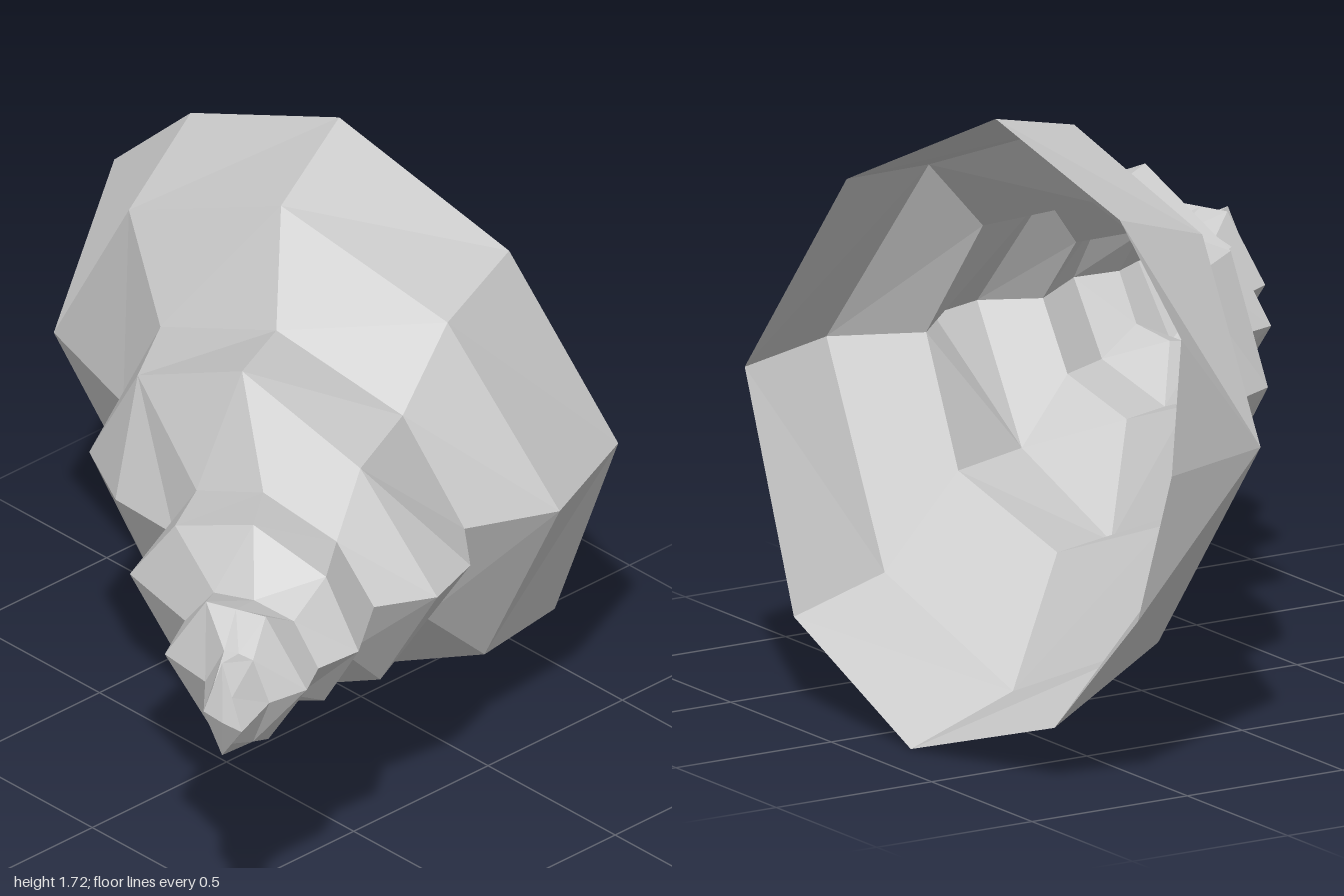
import * as THREE from 'three';

const MID = 0.9; // height of the shell's axis

// Faceted oval ring through left/right (x,z) and top/bottom (x,y,z).
// c and s place the diagonal corners; span optionally sets their own left/right.
function ring(L, R, T, B, c = 0.66, s = 0.7, span = [L, R]) {
  const [l, r] = span;
  const cx = (l[0] + r[0]) / 2, cz = (l[1] + r[1]) / 2;
  const ux = (r[0] - l[0]) / 2, uz = (r[1] - l[1]) / 2;
  const diag = (side, P) => [
    cx + side * c * ux + s * (P[0] - cx),
    MID + s * (P[1] - MID),
    cz + side * c * uz + s * (P[2] - cz),
  ];
  const left = [L[0], MID, L[1]], right = [R[0], MID, R[1]];
  return [left, left, diag(-1, T), T, diag(1, T), right, diag(1, B), B, diag(-1, B), left];
}

function shellGeometry() {
  const ridgeSpan = [[-0.35, 0.18], [0.85, 0.02]];
  const ridgeT = [0.23, 1.4, 0.16], ridgeB = [0.23, 0.36, 0.05];
  const rings = [
    // flared open lip
    [[-1, MID, -0.55], [-0.97, 1.27, -0.5], [-0.68, 1.54, -0.51], [-0.17, 1.72, -0.58], [0.34, 1.46, -0.73],
      [0.6, MID, -0.89], [0.34, 0.26, -0.9], [-0.18, 0, -0.86], [-0.71, 0.16, -0.74], [-0.97, 0.5, -0.64]],
    // large whorl
    ring([-0.87, -0.18], [0.75, -0.53], [-0.05, 1.63, -0.25], [-0.07, 0.08, -0.46], 0.63, 0.72),
    ring([-0.47, -0.06], [0.64, -0.28], [0.09, 1.36, -0.1], [0.08, 0.4, -0.22], 0.71),
    // second whorl, with a double corner on each side
    ring([-0.35, 0.18], [0.79, -0.16], ridgeT, ridgeB, 0.64, 0.67, ridgeSpan),
    ring([-0.12, 0.3], [0.85, 0.02], ridgeT, ridgeB, 0.64, 0.67, ridgeSpan),
    ring([0.12, 0.31], [0.77, 0.18], [0.43, 1.15, 0.27], [0.43, 0.63, 0.23], 0.7),
    // third whorl
    ring([0.19, 0.54], [0.91, 0.37], [0.57, 1.18, 0.44], [0.55, 0.61, 0.43]),
    ring([0.47, 0.6], [0.9, 0.51], [0.69, 1.04, 0.55], [0.68, 0.75, 0.53], 0.6, 0.85),
    // fourth whorl
    ring([0.56, 0.76], [0.96, 0.61], [0.75, 1.09, 0.675], [0.75, 0.7, 0.665], 0.42, 1),
    ring([0.74, 0.78], [0.94, 0.73], [0.84, 1.02, 0.75], [0.84, 0.75, 0.75], 0.45, 0.95),
    // tip
    ring([0.85, 0.89], [1, 0.89], [0.87, 1.04, 0.84], [0.87, 0.75, 0.84], 0.5, 0.5),
    Array(10).fill([0.93, MID, 0.895]),
  ];

  const positions = [];
  const p = new THREE.Vector3(), q = new THREE.Vector3(), o = new THREE.Vector3();
  const tri = (a, b, c) => {
    o.fromArray(a);
    p.fromArray(b).sub(o);
    q.fromArray(c).sub(o);
    if (p.cross(q).length() > 1e-7) positions.push(...a, ...b, ...c);
  };
  for (let i = 0; i < rings.length - 1; i++) {
    for (let j = 0; j < 10; j++) {
      const k = (j + 1) % 10;
      const a = rings[i][j], b = rings[i][k], d = rings[i + 1][j], e = rings[i + 1][k];
      // mirror the quad split between the upper and lower halves
      if (j < 5) {
        tri(a, d, b);
        tri(b, d, e);
      } else {
        tri(a, d, e);
        tri(a, e, b);
      }
    }
  }
  const g = new THREE.BufferGeometry();
  g.setAttribute('position', new THREE.Float32BufferAttribute(positions, 3));
  g.computeVertexNormals();
  return g;
}

export function createModel() {
  const shellGrey = new THREE.MeshStandardMaterial({ color: 0xcccccc, flatShading: true, side: THREE.DoubleSide });
  shellGrey.name = 'shellGrey';

  const group = new THREE.Group();
  group.name = 'seashell';
  const shell = new THREE.Mesh(shellGeometry(), shellGrey);
  shell.name = 'spiralShell';
  group.add(shell);
  return group;
}
